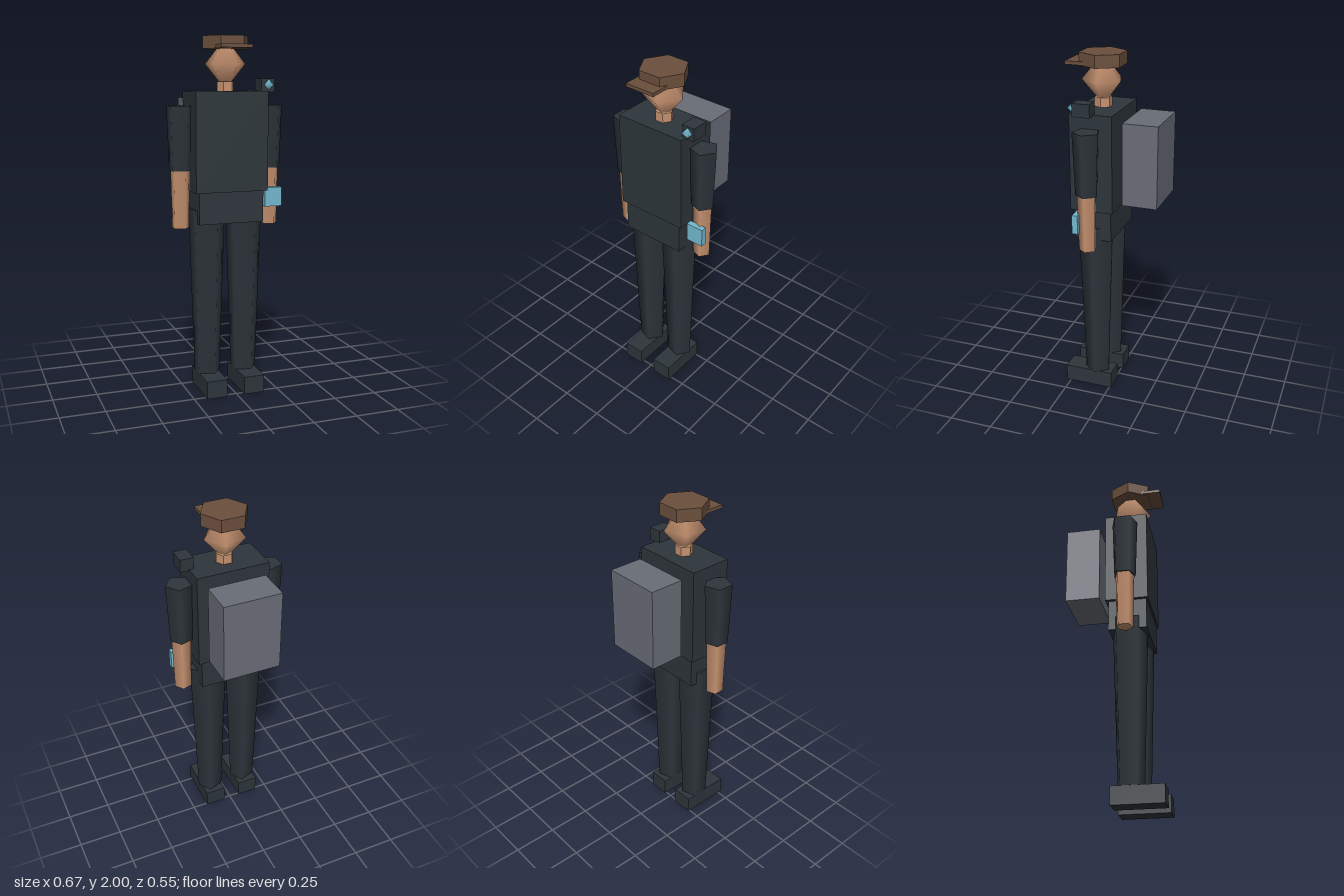
import * as THREE from 'three';

const mat = (name, color) => {
  const m = new THREE.MeshStandardMaterial({ color });
  m.name = name;
  return m;
};

export function createModel() {
  const cloth = mat('dark cloth', 0x2d353b);
  const skin = mat('skin', 0xc69270);
  const brown = mat('cap brown', 0x6b4f3c);
  const grey = mat('pack grey', 0x696d77);
  const teal = mat('teal', 0x74b9cf);

  const model = new THREE.Group();
  model.name = 'figure';
  const CX = -0.009, CZ = 0.087; // body axis

  const add = (name, geometry, material) => {
    const mesh = new THREE.Mesh(geometry, material);
    mesh.name = name;
    model.add(mesh);
  };

  // Box given by its limits on each axis
  const box = (name, material, [x0, x1], [y0, y1], [z0, z1]) =>
    add(name, new THREE.BoxGeometry(x1 - x0, y1 - y0, z1 - z0)
      .translate((x0 + x1) / 2, (y0 + y1) / 2, (z0 + z1) / 2), material);

  // Upright tapered prism with one corner towards +x
  const prism = (name, material, x, [y0, y1], rBottom, rTop, sides, flat = false) => {
    let g = new THREE.CylinderGeometry(rTop, rBottom, y1 - y0, sides).rotateY(Math.PI / 2);
    if (flat) {
      g = g.toNonIndexed();
      g.computeVertexNormals();
    }
    add(name, g.translate(x, (y0 + y1) / 2, CZ), material);
  };

  // Five-sided double cone with smooth normals
  const gem = (name, material, x, y, z, r, stretch) =>
    add(name, new THREE.SphereGeometry(r, 5, 2).rotateY(Math.PI)
      .scale(1, stretch, 1).translate(x, y, z), material);

  // Trunk
  box('torso', cloth, [-0.218, 0.2], [1.154, 1.703], [-0.035, 0.208]);
  box('hips', cloth, [-0.196, 0.178], [0.978, 1.154], [-0.02, 0.197]);

  // Limbs
  for (const [side, s] of [['left', 1], ['right', -1]]) {
    const legX = CX + s * 0.111, armX = CX + s * 0.2645;
    prism(side + 'Leg', cloth, legX, [0.1, 1.05], 0.076, 0.108, 5);
    box(side + 'Shoe', cloth, [legX - 0.06, legX + 0.06], [0, 0.1], [-0.011, 0.275]);
    prism(side + 'Sleeve', cloth, armX, [1.272, 1.625], 0.064, 0.077, 5);
    prism(side + 'Forearm', skin, armX, [0.95, 1.272], 0.049, 0.056, 5);
  }

  // Head and cap
  prism('neck', skin, CX, [1.69, 1.755], 0.049, 0.049, 6, true);
  gem('head', skin, CX, 1.85, CZ, 0.118, 1.2);
  prism('cap', brown, CX, [1.93, 2], 0.132, 0.132, 6, true);
  box('capBrim', brown, [-0.097, 0.079], [1.933, 1.952], [0.135, 0.275]);

  // Gear
  box('backpack', grey, [-0.174, 0.158], [1.197, 1.66], [-0.277, -0.079]);
  box('shoulderDevice', cloth, [0.173, 0.25], [1.697, 1.77], [0.07, 0.17]);
  gem('shoulderLens', teal, 0.213, 1.737, 0.178, 0.03, 1);
  box('wristScreen', teal, [0.204, 0.306], [1.055, 1.163], [0.127, 0.16]);

  return model;
}
